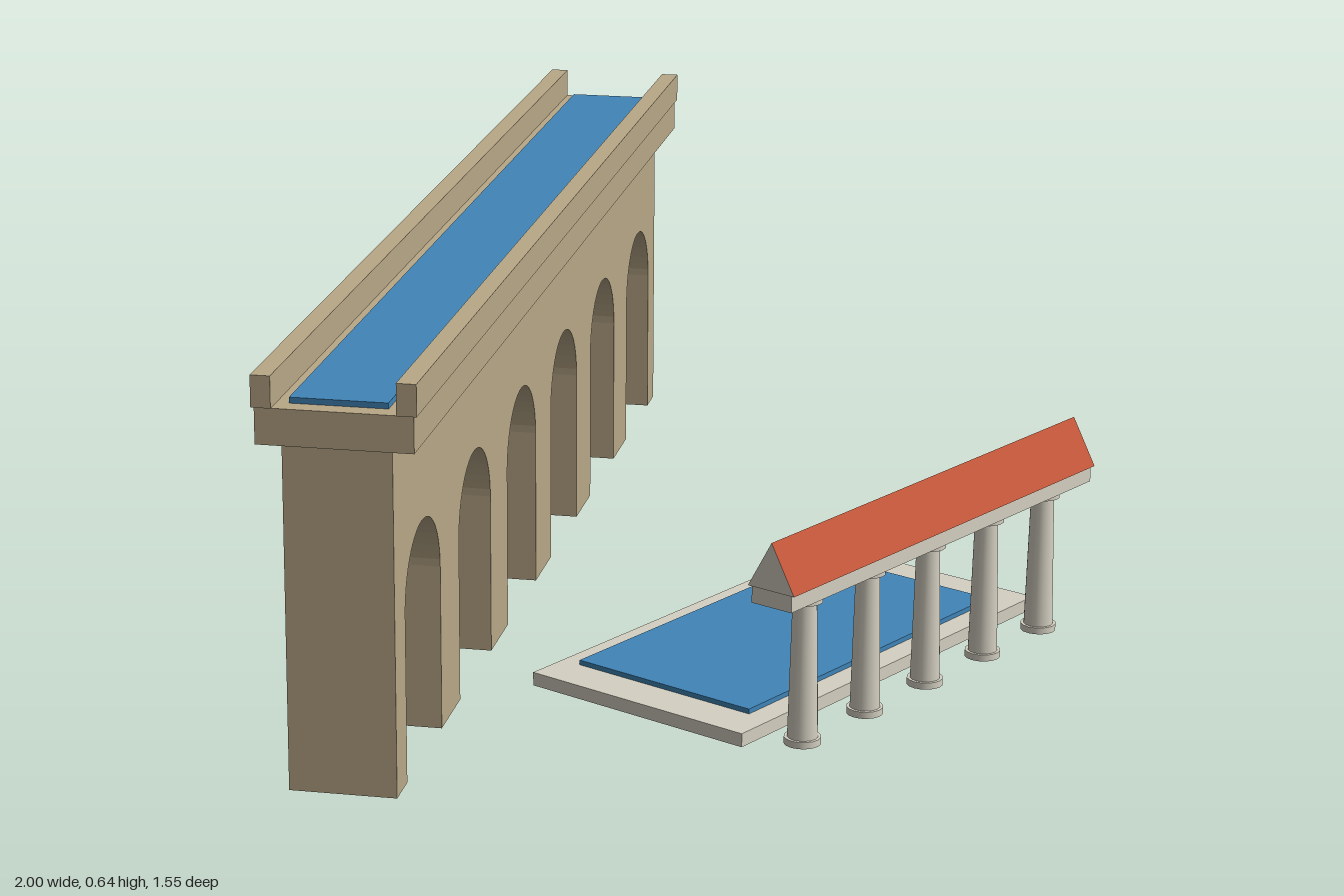
import * as THREE from 'three';

const material = (name, color) => {
  const m = new THREE.MeshStandardMaterial({ color });
  m.name = name;
  return m;
};

export function createModel() {
  const sandstone = material('sandstone', 0xb9a888);
  const marble = material('marble', 0xd6d1c3);
  const water = material('water', 0x4085b8);
  const terracotta = material('terracotta', 0xc4573a);

  const add = (parent, name, geometry, mat, x = 0, y = 0, z = 0) => {
    const mesh = new THREE.Mesh(geometry, mat);
    mesh.name = name;
    mesh.position.set(x, y, z);
    parent.add(mesh);
    return mesh;
  };
  // Box placed by the height of its underside
  const slab = (parent, name, mat, w, h, d, x, bottom, z) =>
    add(parent, name, new THREE.BoxGeometry(w, h, d), mat, x, bottom + h / 2, z);
  const group = (parent, name, x = 0, y = 0, z = 0) => {
    const g = new THREE.Group();
    g.name = name;
    g.position.set(x, y, z);
    parent.add(g);
    return g;
  };

  const model = new THREE.Group();
  model.name = 'aqueductAndBath';

  // Aqueduct, standing diagonally behind the bath
  const aqueduct = group(model, 'aqueduct', 0, 0, -0.165);
  aqueduct.rotation.y = THREE.MathUtils.degToRad(28);

  // Arcade wall: the outline runs up and over each of six arches
  const half = 1.05, pitch = 0.35, radius = 0.112, spring = 0.264, depth = 0.165;
  const outline = new THREE.Shape();
  outline.moveTo(-half, 0);
  for (let i = 0; i < 6; i++) {
    const cx = (i - 2.5) * pitch;
    outline.lineTo(cx - radius, 0);
    outline.lineTo(cx - radius, spring);
    outline.absarc(cx, spring, radius, Math.PI, 0, true);
    outline.lineTo(cx + radius, 0);
  }
  outline.lineTo(half, 0);
  outline.lineTo(half, 0.54);
  outline.lineTo(-half, 0.54);
  outline.closePath();
  const wall = new THREE.ExtrudeGeometry(outline, { depth, bevelEnabled: false, curveSegments: 14 });
  add(aqueduct, 'arcade', wall, sandstone, 0, 0, -depth / 2);

  // Open-ended water channel on top
  slab(aqueduct, 'channelFloor', sandstone, 2.13, 0.056, 0.237, 0, 0.54, 0);
  for (const side of [-1, 1]) {
    slab(aqueduct, 'parapet', sandstone, 2.134, 0.049, 0.03, 0, 0.596, side * 0.108);
  }
  slab(aqueduct, 'channelWater', water, 2.07, 0.009, 0.148, 0, 0.596, 0);

  // Bath
  const bath = group(model, 'bath', 0, 0, 0.463);
  slab(bath, 'basin', marble, 0.806, 0.022, 0.415, 0, 0, 0);
  slab(bath, 'basinWater', water, 0.66, 0.008, 0.338, 0, 0.022, -0.003);

  // Portico in front of the bath
  const portico = group(model, 'portico', 0, 0, 0.73);
  const drum = (parent, name, top, bottom, y0, y1) =>
    add(parent, name, new THREE.CylinderGeometry(top, bottom, y1 - y0, 16), marble, 0, (y0 + y1) / 2, 0);
  for (let i = -2; i <= 2; i++) {
    const column = group(portico, 'column', i * 0.164);
    drum(column, 'columnBase', 0.029, 0.029, 0, 0.011);
    drum(column, 'columnShaft', 0.019, 0.024, 0.011, 0.23);
    drum(column, 'columnCapital', 0.028, 0.028, 0.23, 0.242);
  }
  slab(portico, 'entablature', marble, 0.826, 0.027, 0.074, 0, 0.242, 0);

  // Gabled roof: marble gable ends, terracotta slopes
  const gable = new THREE.Shape([
    new THREE.Vector2(-0.043, 0),
    new THREE.Vector2(0.043, 0),
    new THREE.Vector2(0, 0.076),
  ]);
  const roof = new THREE.ExtrudeGeometry(gable, { depth: 0.83, bevelEnabled: false });
  roof.translate(0, 0, -0.415).rotateY(Math.PI / 2);
  add(portico, 'roof', roof, [marble, terracotta], 0, 0.269, 0);

  return model;
}
